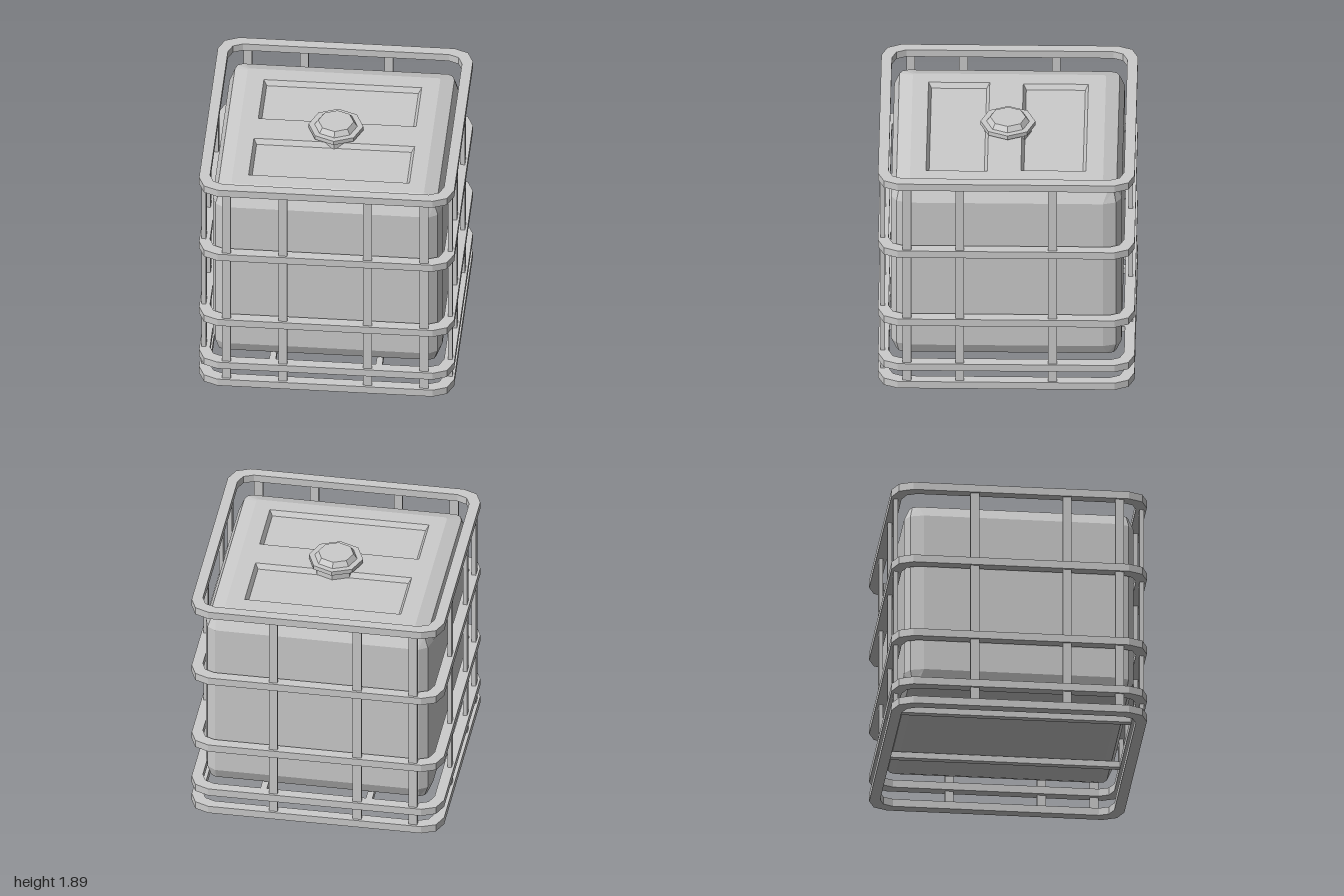
import * as THREE from 'three';

const material = new THREE.MeshStandardMaterial({ color: 0xcccccc, flatShading: true });

// Plan outline [x, z] of a rectangle whose corners are cut in two facets
function outline(hx, hz, cx, cz = cx, centerZ = 0) {
  const corner = [[hx, hz - cz], [hx - 0.3 * cx, hz - 0.3 * cz], [hx - cx, hz]];
  const points = [];
  for (const [sx, sz] of [[1, 1], [-1, 1], [-1, -1], [1, -1]]) {
    const part = corner.map(([x, z]) => [x * sx, z * sz + centerZ]);
    points.push(...(sx * sz > 0 ? part : part.reverse()));
  }
  return points;
}

// Skin joining sections of equal point count, each { y, points }
function loft(sections) {
  const positions = [], index = [];
  const n = sections[0].points.length;
  for (const s of sections) for (const [x, z] of s.points) positions.push(x, s.y, z);
  for (let s = 0; s < sections.length - 1; s++) {
    for (let i = 0; i < n; i++) {
      const a = s * n + i, b = s * n + (i + 1) % n;
      index.push(a, a + n, b, b, a + n, b + n);
    }
  }
  const geometry = new THREE.BufferGeometry();
  geometry.setAttribute('position', new THREE.Float32BufferAttribute(positions, 3));
  geometry.setIndex(index);
  const flat = geometry.toNonIndexed();
  flat.computeVertexNormals();
  return flat;
}

// Plan points as counter-clockwise shape points, to be laid flat by a turn about x
const toVectors = (points) => points.map(([x, z]) => new THREE.Vector2(x, -z)).reverse();

function add(parent, name, geometry, x = 0, y = 0, z = 0) {
  const mesh = new THREE.Mesh(geometry, material);
  mesh.name = name;
  mesh.position.set(x, y, z);
  parent.add(mesh);
}

function createTank() {
  const tank = new THREE.Group();
  tank.name = 'tank';
  const topY = 1.78;

  // Body with bevelled top and bottom edges: y, half size, corner cuts in x and z
  const levels = [
    [0.232, 0.8, 0.05, 0.05], [0.25, 0.855, 0.055, 0.07], [0.34, 0.895, 0.095, 0.145],
    [1.655, 0.895, 0.095, 0.145], [1.745, 0.855, 0.055, 0.07], [topY, 0.75, 0.02, 0.02],
  ];
  const sections = levels.map(([y, h, cx, cz]) => ({ y, points: outline(h, h, cx, cz) }));
  const bottom = { y: levels[0][0], points: outline(0, 0, 0) };
  add(tank, 'tankBody', loft([bottom, ...sections]));

  // Top panel with two sunken rectangles: half width, half depth, centre z
  const recesses = [[0.615, 0.253, -0.362], [0.627, 0.238, 0.389]];
  const panel = new THREE.Shape(toVectors(outline(0.75, 0.75, 0.02)));
  for (const [hx, hz, z] of recesses) {
    const rim = outline(hx, hz, 0, 0, z);
    panel.holes.push(new THREE.Path(toVectors(rim.filter((p, i) => i % 3 === 0))));
    add(tank, 'topRecess', loft([
      { y: topY, points: rim },
      { y: topY - 0.04, points: outline(hx - 0.024, hz - 0.024, 0, 0, z) },
      { y: topY - 0.04, points: outline(0, 0, 0, 0, z) },
    ]));
  }
  add(tank, 'topPanel', new THREE.ShapeGeometry(panel).rotateX(-Math.PI / 2), 0, topY, 0);

  // Eight-sided filler neck and cap
  add(tank, 'fillerNeck', new THREE.CylinderGeometry(0.183, 0.183, 0.08, 8), 0, 1.765, 0);
  add(tank, 'capFlange', new THREE.CylinderGeometry(0.213, 0.213, 0.035, 8), 0, 1.8175, 0);
  add(tank, 'capTop', new THREE.CylinderGeometry(0.138, 0.167, 0.04, 8), 0, 1.855, 0);
  return tank;
}

function createCage() {
  const cage = new THREE.Group();
  cage.name = 'cage';

  // Horizontal hoops
  const hoop = new THREE.Shape(toVectors(outline(0.994, 0.996, 0.155)));
  hoop.holes.push(new THREE.Path(toVectors(outline(0.912, 0.914, 0.11))));
  const hoopGeometry = new THREE.ExtrudeGeometry(hoop, { depth: 0.062, bevelEnabled: false });
  hoopGeometry.rotateX(-Math.PI / 2);
  for (const y of [0, 0.164, 0.578, 1.209, 1.829]) add(cage, 'hoop', hoopGeometry, 0, y, 0);

  // Upright bars
  const bottom = 0.03, top = 1.86, offset = 0.96;
  const upright = (x, z, wx, wz) => add(cage, 'upright',
    new THREE.BoxGeometry(wx, top - bottom, wz), x, (top + bottom) / 2, z);
  for (const x of [-0.77, -0.33, 0.33, 0.77]) upright(x, offset, 0.068, 0.034);
  for (const x of [-0.77, -0.33, 0.33]) upright(x, -offset, 0.068, 0.034);
  for (const side of [-1, 1]) {
    for (const z of [-0.36, 0.36, 0.77]) upright(side * offset, z, 0.034, 0.068);
  }

  // Slats under the tank
  for (const x of [-0.415, 0.415]) {
    add(cage, 'floorSlat', new THREE.BoxGeometry(0.05, 0.05, 1.88), x, 0.2, 0);
  }
  return cage;
}

export function createModel() {
  const model = new THREE.Group();
  model.name = 'cagedTank';
  model.add(createTank(), createCage());
  return model;
}
